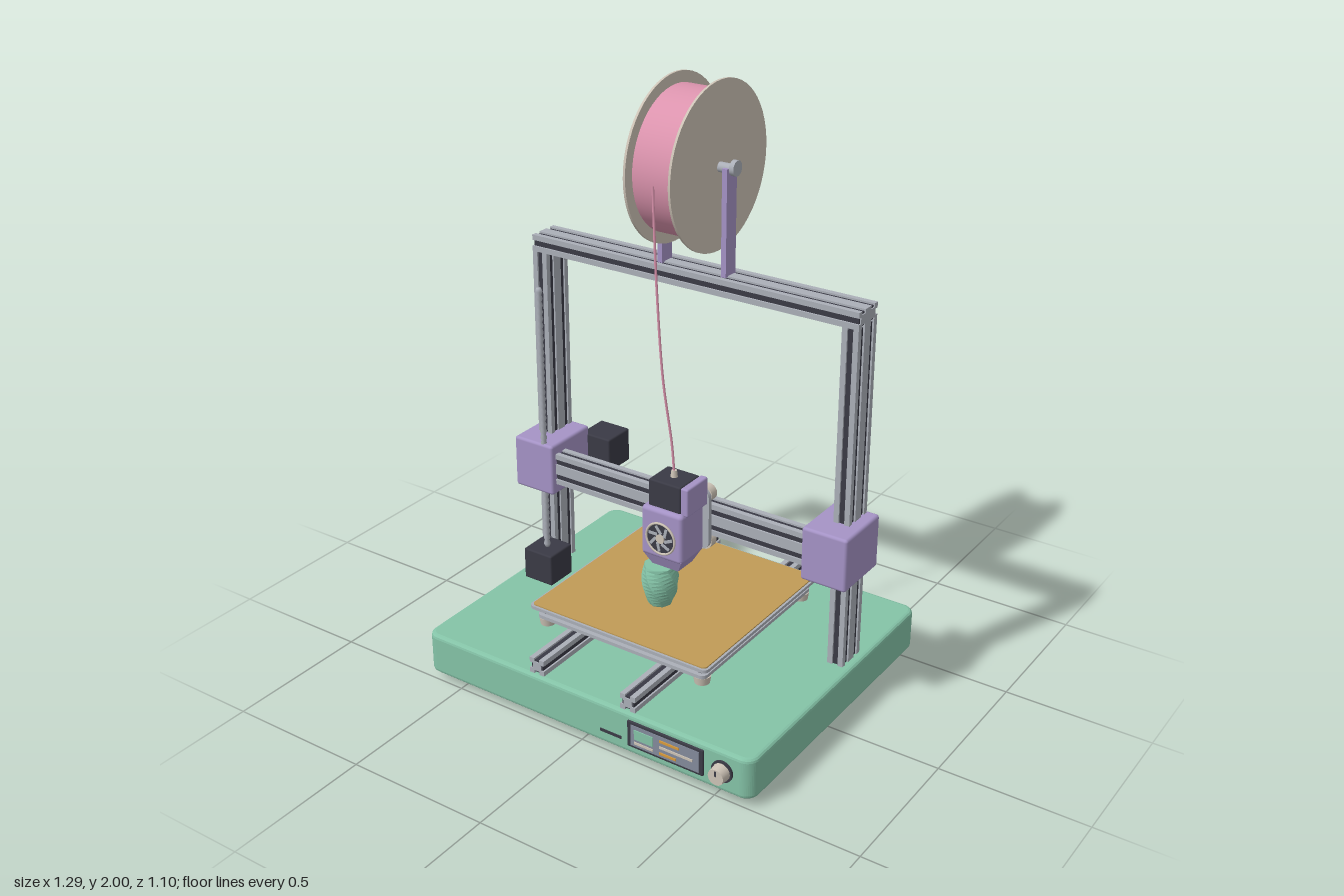
import * as THREE from 'three';
import { RoundedBoxGeometry } from 'three/addons/geometries/RoundedBoxGeometry.js';

const mat = (name, color) => new THREE.MeshStandardMaterial({ name, color });

export function createModel() {
  const model = new THREE.Group();
  model.name = 'printer';
  const green = mat('green', 0x84c3a7), purple = mat('purple', 0xa593c6), metal = mat('aluminium', 0xabafb8);
  const dark = mat('charcoal', 0x3a3a45), gold = mat('gold', 0xc09b56), pink = mat('pink', 0xdc94ae);
  const cream = mat('cream', 0xcdc3b6), orange = mat('orange', 0xd99b3c), glass = mat('screen grey', 0x838a9b);

  const add = (name, geo, material, x = 0, y = 0, z = 0, parent = model) => {
    const m = new THREE.Mesh(geo, material);
    m.name = name;
    m.position.set(x, y, z);
    parent.add(m);
    return m;
  };
  // Box given by its limits on each axis; r rounds the edges
  const box = (name, material, [x0, x1], [y0, y1], [z0, z1], r = 0) => {
    const s = [x1 - x0, y1 - y0, z1 - z0];
    const geo = r ? new RoundedBoxGeometry(...s, 2, r) : new THREE.BoxGeometry(...s);
    return add(name, geo, material, (x0 + x1) / 2, (y0 + y1) / 2, (z0 + z1) / 2);
  };
  const cyl = (r0, r1, h, axis = 'y', n = 28) => {
    const g = new THREE.CylinderGeometry(r0, r1, h, n);
    if (axis === 'x') g.rotateZ(-Math.PI / 2);
    if (axis === 'z') g.rotateX(Math.PI / 2);
    return g;
  };
  const roundRect = (w, h, r) => {
    const s = new THREE.Shape(), a = w / 2 - r, b = h / 2 - r;
    s.absarc(a, b, r, 0, Math.PI / 2);
    s.absarc(-a, b, r, Math.PI / 2, Math.PI);
    s.absarc(-a, -b, r, Math.PI, Math.PI * 1.5);
    s.absarc(a, -b, r, Math.PI * 1.5, Math.PI * 2);
    s.closePath();
    return s;
  };
  // Rounded plate lying flat, from y0 to y1
  const slab = (name, material, w, d, r, y0, y1, z, bevel = 0) => {
    const geo = new THREE.ExtrudeGeometry(roundRect(w - 2 * bevel, d - 2 * bevel, r), {
      depth: y1 - y0 - 2 * bevel, bevelEnabled: bevel > 0, bevelSize: bevel,
      bevelThickness: bevel, bevelSegments: 3, curveSegments: 6,
    });
    geo.rotateX(-Math.PI / 2);
    return add(name, geo, material, 0, y0 + bevel, z);
  };

  // Slotted extrusion of nx by ny cells, running along local z, with a dark core in the slots
  const CELL = 0.056, SLOT = 0.01, DEEP = 0.012;
  const rail = (name, nx, ny, length, x, y, z) => {
    const W = nx * CELL, H = ny * CELL, pts = [];
    const sides = [[nx, W, H], [ny, H, W], [nx, W, H], [ny, H, W]];
    sides.forEach(([n, len, across], k) => {
      const c = Math.round(Math.cos(k * Math.PI / 2)), s = Math.round(Math.sin(k * Math.PI / 2));
      const put = (u, v) => pts.push(new THREE.Vector2(u * c - v * s, u * s + v * c));
      put(-len / 2, -across / 2);
      for (let i = 0; i < n; i++) {
        const m = -len / 2 + (i + 0.5) * CELL, e = -across / 2;
        put(m - SLOT, e); put(m - SLOT, e + DEEP); put(m + SLOT, e + DEEP); put(m + SLOT, e);
      }
    });
    const g = new THREE.Group();
    g.name = name;
    g.position.set(x, y, z);
    const geo = new THREE.ExtrudeGeometry(new THREE.Shape(pts), { depth: length, bevelEnabled: false });
    add(name + 'Profile', geo, metal, 0, 0, -length / 2, g);
    add(name + 'Slots', new THREE.BoxGeometry(W - 0.012, H - 0.012, length - 0.008), dark, 0, 0, 0, g);
    model.add(g);
    return g;
  };

  // Base and feet
  slab('base', green, 1.27, 1.055, 0.03, 0.03, 0.176, -0.02, 0.014);
  for (const x of [-0.55, 0.55]) for (const z of [-0.497, 0.426])
    add('foot', cyl(0.038, 0.034, 0.034), dark, x, 0.017, z);

  // Control panel on the front of the base
  box('displayFrame', dark, [0.185, 0.466], [0.06, 0.155], [0.5, 0.513], 0.004);
  box('displayScreen', glass, [0.2, 0.452], [0.07, 0.145], [0.51, 0.515]);
  box('screenTile', green, [0.215, 0.285], [0.098, 0.132], [0.513, 0.518]);
  [[0.215, 0.285, 0.084, cream], [0.31, 0.38, 0.128, orange], [0.31, 0.43, 0.106, cream], [0.31, 0.37, 0.084, orange]]
    .forEach(([x0, x1, y, m]) => box('screenLine', m, [x0, x1], [y - 0.004, y + 0.004], [0.513, 0.518]));
  box('cardSlot', dark, [0.08, 0.16], [0.072, 0.082], [0.504, 0.51]);
  add('knobRing', cyl(0.037, 0.037, 0.012, 'z'), dark, 0.533, 0.108, 0.509);
  add('knob', cyl(0.027, 0.031, 0.04, 'z'), cream, 0.533, 0.108, 0.528);
  box('knobMark', dark, [0.53, 0.536], [0.112, 0.13], [0.546, 0.55]);

  // Bed rails, frame and crossbeam
  for (const x of [-0.178, 0.176]) rail('bedRail', 1, 1, 1.03, x, 0.203, -0.02);
  for (const x of [-0.578, 0.578])
    rail('upright', 1, 2, 1.17, x, 0.758, -0.14).rotation.x = -Math.PI / 2;
  rail('topBeam', 2, 1, 1.212, 0, 1.37, -0.14).rotation.y = Math.PI / 2;
  rail('gantryBeam', 1, 2, 1.0, 0, 0.6, -0.047).rotation.y = Math.PI / 2;

  // Gantry end blocks, motors and lead screw
  for (const s of [-1, 1])
    box('gantryBlock', purple, [s * 0.566 - 0.08, s * 0.566 + 0.08], [0.505, 0.69], [-0.21, 0], 0.01);
  box('gantryMotor', dark, [-0.514, -0.394], [0.538, 0.66], [-0.319, -0.2], 0.006);
  box('liftMotor', dark, [-0.589, -0.471], [0.175, 0.29], [-0.075, 0.042], 0.006);
  const thread = [new THREE.Vector2(0, 0)];
  for (let i = 0; i <= 80; i++) thread.push(new THREE.Vector2(i % 2 ? 0.012 : 0.008, i * 0.012));
  thread.push(new THREE.Vector2(0, 0.96));
  add('leadScrew', new THREE.LatheGeometry(thread, 12), metal, -0.531, 0.29, -0.015);

  // Heated bed with levelling springs and knobs
  slab('bedCarrier', metal, 0.66, 0.66, 0.02, 0.236, 0.248, -0.028);
  slab('bedPlate', metal, 0.694, 0.694, 0.018, 0.274, 0.285, -0.028);
  slab('printSurface', gold, 0.678, 0.678, 0.014, 0.284, 0.289, -0.028);
  for (const x of [-0.305, 0.305]) for (const z of [-0.33, 0.274]) {
    add('bedSpring', cyl(0.014, 0.014, 0.03, 'y', 16), dark, x, 0.261, z);
    add('levelKnob', cyl(0.029, 0.025, 0.027, 'y', 20), cream, x, 0.222, z);
  }

  // Twisted vase on the bed
  const vase = new THREE.CylinderGeometry(1, 1, 0.142, 8, 12), p = vase.attributes.position;
  for (let i = 0; i < p.count; i++) {
    const t = p.getY(i) / 0.142 + 0.5, a = t * 1.3;
    const r = 0.04 + 0.022 * Math.sin(Math.min(1, t * 1.05) * 2.5);
    const x = p.getX(i) * r, z = p.getZ(i) * r;
    p.setXYZ(i, x * Math.cos(a) - z * Math.sin(a), p.getY(i), x * Math.sin(a) + z * Math.cos(a));
  }
  // Unshared corners give each facet its own normal
  const vaseFacets = vase.toNonIndexed();
  vaseFacets.computeVertexNormals();
  add('printedVase', vaseFacets, green, 0, 0.36, 0.063);

  // Print head
  const hx = 0.048, hz = 0.063;
  const plate = new THREE.ExtrudeGeometry(roundRect(0.194, 0.215, 0.03), { depth: 0.016, bevelEnabled: false });
  add('carriagePlate', plate, metal, hx, 0.603, -0.017);
  for (const dx of [-0.068, 0.068]) for (const y of [0.685, 0.515])
    add('carriageWheel', cyl(0.029, 0.029, 0.03, 'z', 20), cream, hx + dx, y, -0.034);
  box('headBody', purple, [-0.031, 0.127], [0.492, 0.668], [-0.002, 0.127], 0.014);
  const duct = new THREE.CylinderGeometry(Math.SQRT1_2, Math.SQRT1_2 * 0.68, 0.045, 4).toNonIndexed();
  duct.rotateY(Math.PI / 4).scale(0.148, 1, 0.12);
  duct.computeVertexNormals();
  add('headDuct', duct, purple, hx, 0.476, hz);
  add('nozzle', cyl(0.019, 0.006, 0.026, 'y', 12), dark, hx, 0.443, hz);
  box('extruderMotor', dark, [-0.012, 0.11], [0.662, 0.76], [0, 0.11], 0.006);
  box('extruderPlate', purple, [0.11, 0.138], [0.662, 0.76], [-0.006, 0.11], 0.006);
  add('filamentFitting', cyl(0.009, 0.012, 0.024, 'y', 12), cream, hx, 0.771, 0.053);

  // Cooling fan
  add('fanWell', cyl(0.055, 0.055, 0.006, 'z'), dark, hx, 0.57, 0.128);
  add('fanRing', new THREE.TorusGeometry(0.054, 0.004, 8, 32), cream, hx, 0.57, 0.131);
  add('fanHub', cyl(0.016, 0.016, 0.008, 'z', 20), cream, hx, 0.57, 0.131);
  for (let i = 0; i < 7; i++) {
    const a = i * Math.PI * 2 / 7;
    const blade = new THREE.BoxGeometry(0.032, 0.01, 0.003).rotateZ(a + 0.45);
    add('fanBlade', blade, metal, hx + Math.cos(a) * 0.031, 0.57 + Math.sin(a) * 0.031, 0.132);
  }

  // Filament spool on its holder
  const sy = 1.735, sz = -0.137;
  add('filamentCoil', cyl(0.23, 0.23, 0.154, 'x', 56), pink, 0, sy, sz);
  add('spoolAxle', cyl(0.016, 0.016, 0.29, 'x', 20), metal, 0, sy, sz);
  for (const s of [-1, 1]) {
    add('spoolFlange', cyl(0.266, 0.266, 0.008, 'x', 56), cream, s * 0.08, sy, sz);
    box('spoolArm', purple, [s * 0.118 - 0.009, s * 0.118 + 0.009], [1.395, 1.74], [-0.165, -0.11]);
    add('axleCap', cyl(0.025, 0.025, 0.016, 'x', 20), metal, s * 0.139, sy + 0.005, sz);
  }

  // Loose filament from the coil to the head
  const strand = new THREE.CatmullRomCurve3([
    [0, 1.72, 0.095], [0.003, 1.6, 0.094], [0.01, 1.38, 0.09], [0.022, 1.1, 0.077], [0.043, 0.87, 0.058], [hx, 0.77, 0.053],
  ].map((v) => new THREE.Vector3(...v)));
  add('filament', new THREE.TubeGeometry(strand, 40, 0.004, 8), pink);
  return model;
}
